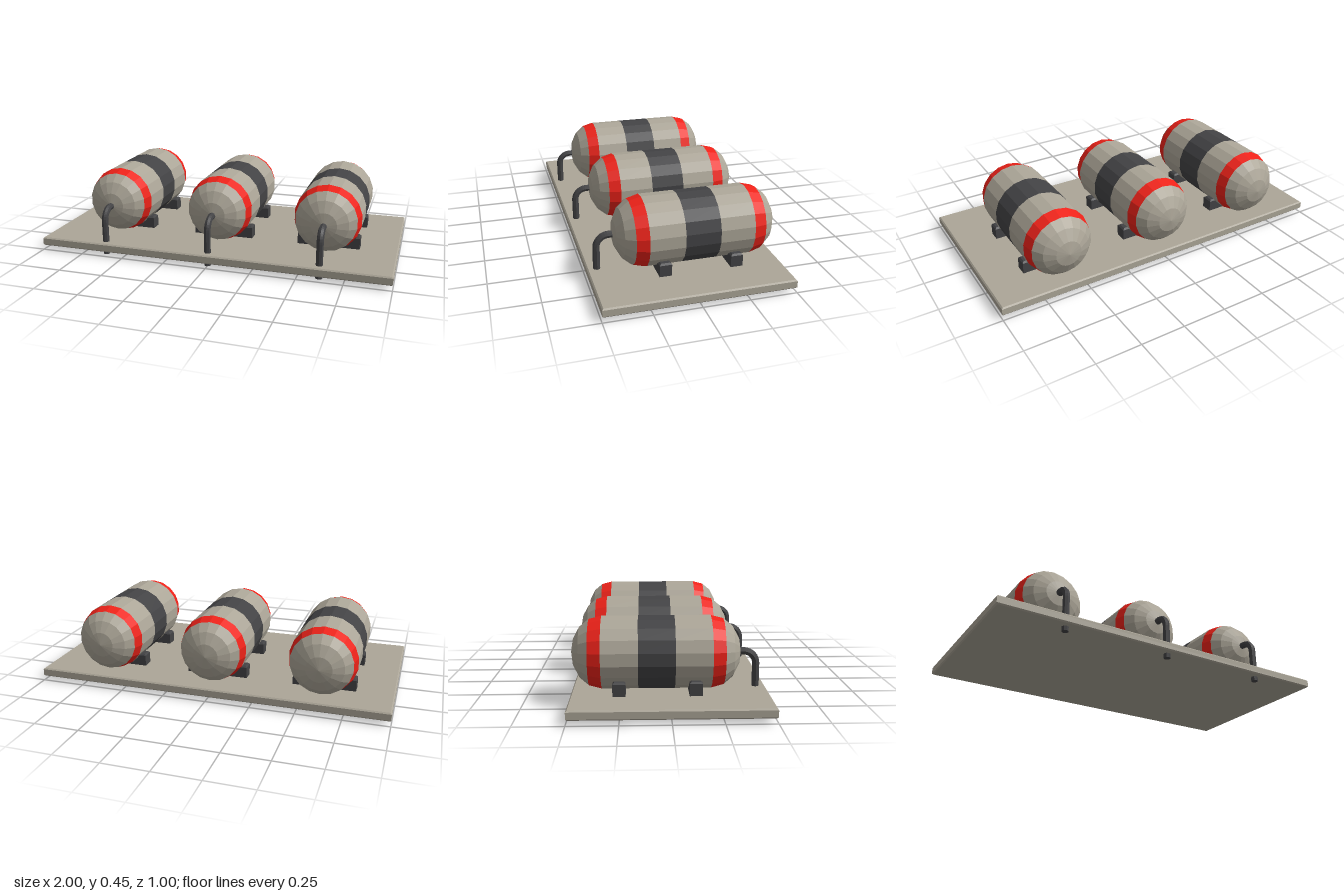
import * as THREE from 'three';

const mat = (color) => new THREE.MeshStandardMaterial({ color, flatShading: true });
const beige = mat(0xaca698);
const dark = mat(0x434345);
const red = mat(0xee2219);

function add(parent, name, geometry, material) {
  const mesh = new THREE.Mesh(geometry, material);
  mesh.name = name;
  parent.add(mesh);
  return mesh;
}

// Box with chamfered edges, standing on y = 0
function chamferBox(w, h, d, c) {
  const x = w / 2 - c, z = d / 2 - c;
  const shape = new THREE.Shape([[-x, -z], [x, -z], [x, z], [-x, z]].map((p) => new THREE.Vector2(...p)));
  const g = new THREE.ExtrudeGeometry(shape, { depth: h - 2 * c, bevelThickness: c, bevelSize: c, bevelSegments: 1 });
  return g.translate(0, 0, c).rotateX(-Math.PI / 2);
}

// Turned section around the z axis; profile is [z, radius] with z rising
function turned(profile) {
  return new THREE.LatheGeometry(profile.map(([z, r]) => new THREE.Vector2(r, z)), 18).rotateX(Math.PI / 2);
}

const R = 0.188, FRONT = 0.21, BACK = -0.345;
const dome = [[0.065, 0.171], [0.113, 0.131], [0.145, 0.071], [0.157, 0]];

function createTank() {
  const tank = new THREE.Group();
  tank.name = 'tank';

  // Cylindrical shell with its central band
  const body = new THREE.Group();
  body.name = 'shell';
  body.position.y = 0.261;
  tank.add(body);
  add(body, 'frontShell', turned([[0.025, R], [FRONT, R]]), beige);
  add(body, 'centreBand', turned([[-0.16, R], [0.025, R]]), dark);
  add(body, 'rearShell', turned([[BACK, R], [-0.16, R]]), beige);

  // Red rings and domed ends
  const [dz, dr] = dome[0];
  add(body, 'frontRing', turned([[FRONT, R], [FRONT + dz, dr]]), red);
  add(body, 'rearRing', turned([[BACK - dz, dr], [BACK, R]]), red);
  add(body, 'frontDome', turned(dome.map(([z, r]) => [FRONT + z, r])), beige);
  add(body, 'rearDome', turned(dome.map(([z, r]) => [BACK - z, r]).reverse()), beige);

  // Support blocks
  for (const [name, z] of [['frontSupport', 0.127], ['rearSupport', -0.255]]) {
    add(tank, name, chamferBox(0.35, 0.085, 0.065, 0.009), dark).position.set(0, 0.06, z);
  }

  // Outlet pipe bending down through the platform
  const v = (y, z) => new THREE.Vector3(0, y, z);
  const path = new THREE.CurvePath();
  path.add(new THREE.LineCurve3(v(0.26, 0.34), v(0.26, 0.382)));
  path.add(new THREE.CubicBezierCurve3(v(0.26, 0.382), v(0.26, 0.418), v(0.231, 0.447), v(0.195, 0.447)));
  path.add(new THREE.LineCurve3(v(0.195, 0.447), v(0, 0.447)));
  add(tank, 'outletPipe', new THREE.TubeGeometry(path, 28, 0.019, 8), dark);
  const cap = add(tank, 'pipeEnd', new THREE.CircleGeometry(0.019, 8).rotateX(Math.PI / 2), dark);
  cap.position.set(0, 0, 0.447);
  return tank;
}

export function createModel() {
  const model = new THREE.Group();
  model.name = 'tankPlatform';
  add(model, 'platform', chamferBox(2, 0.049, 0.996, 0.007), beige).position.y = 0.025;
  for (const x of [-0.618, -0.003, 0.616]) {
    const tank = createTank();
    tank.position.x = x;
    model.add(tank);
  }
  return model;
}
